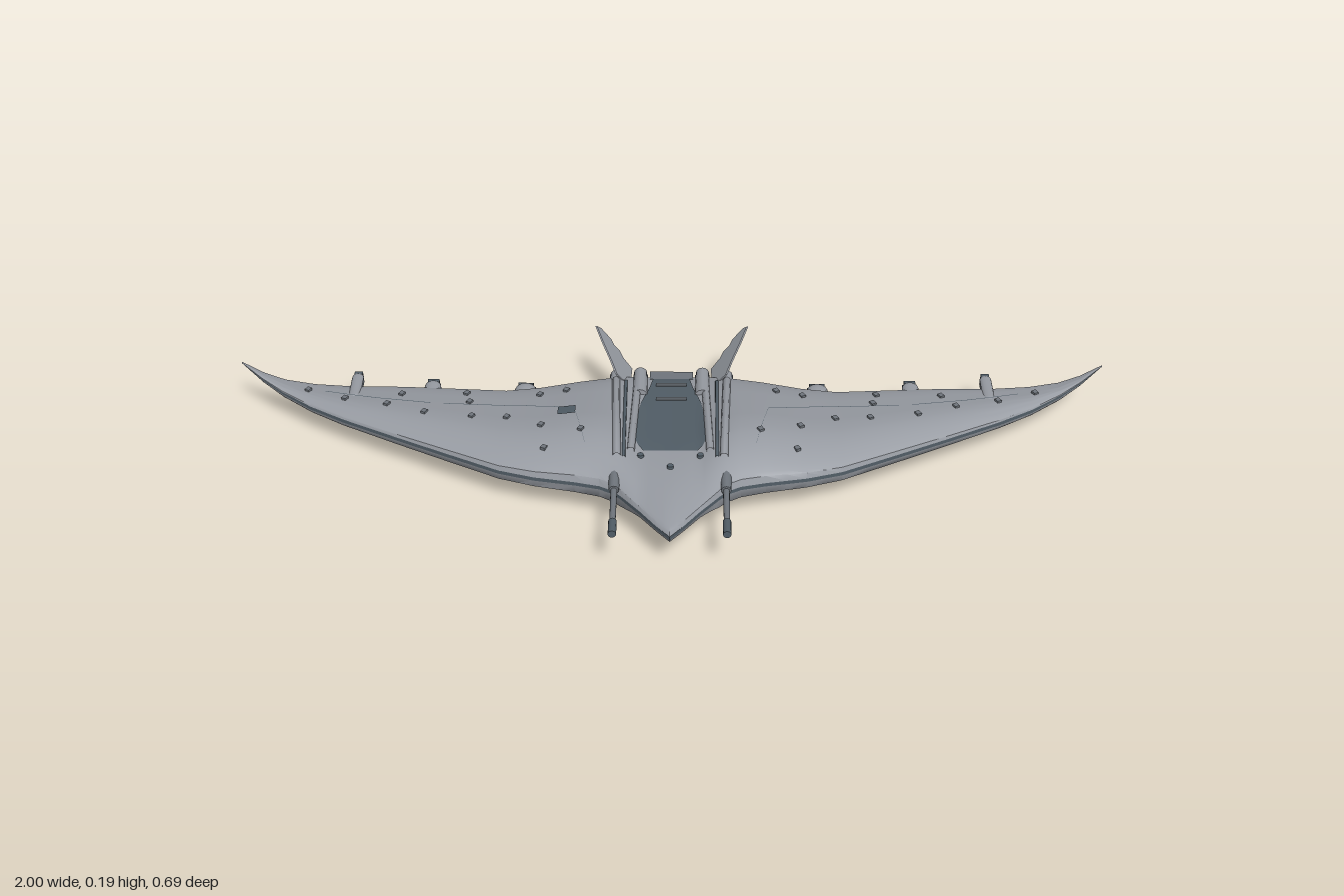
import * as THREE from 'three';
import { toCreasedNormals } from 'three/addons/utils/BufferGeometryUtils.js';

const mat = (name, color) => {
  const m = new THREE.MeshStandardMaterial({ color, side: THREE.DoubleSide });
  m.name = name;
  return m;
};

// Half-span stations: x, leading z, trailing z, seam y, top y, bottom y
const STATIONS = [
  [0, 0.332, -0.25, 0.102, 0.134, 0.056], [0.03, 0.295, -0.25, 0.102, 0.134, 0.056],
  [0.065, 0.245, -0.25, 0.101, 0.134, 0.052], [0.085, 0.22, -0.245, 0.101, 0.142, 0.036],
  [0.108, 0.19, -0.24, 0.1, 0.152, 0.006], [0.125, 0.172, -0.235, 0.1, 0.158, 0.004],
  [0.155, 0.155, -0.225, 0.1, 0.162, 0.009], [0.21, 0.14, -0.215, 0.099, 0.16, 0.016],
  [0.3, 0.122, -0.198, 0.098, 0.147, 0.025], [0.38, 0.095, -0.192, 0.096, 0.138, 0.031],
  [0.5, 0.032, -0.205, 0.094, 0.13, 0.038], [0.62, -0.032, -0.218, 0.092, 0.121, 0.045],
  [0.75, -0.103, -0.226, 0.09, 0.112, 0.054], [0.83, -0.152, -0.236, 0.09, 0.107, 0.063],
  [0.9, -0.198, -0.246, 0.099, 0.109, 0.078], [0.95, -0.229, -0.254, 0.116, 0.121, 0.103],
  [1, -0.259, -0.263, 0.142, 0.143, 0.141],
];
// Chordwise thickness, from leading to trailing edge
const UPPER = [[0, 0], [0.015, 0.28], [0.08, 0.52], [0.2, 0.84], [0.32, 1], [0.45, 1], [0.7, 0.78], [0.9, 0.6], [0.985, 0.42], [1, 0]];
const LOWER = [[0, 0], [0.015, 0.28], [0.1, 0.56], [0.27, 0.93], [0.45, 1], [0.8, 0.95], [0.92, 0.7], [0.985, 0.4], [1, 0]];

function sample(table, v) {
  let i = 1;
  while (i < table.length - 1 && table[i][0] < v) i++;
  const a = table[i - 1], b = table[i], k = (v - a[0]) / (b[0] - a[0]);
  return a.map((n, j) => n + (b[j] - n) * k);
}

const bandHalf = (s) => Math.min(0.0045, (s[4] - s[5]) * 0.1);

function hullPoint(x, t, upper) {
  const s = sample(STATIONS, Math.abs(x)), h = bandHalf(s);
  const z = s[1] + (s[2] - s[1]) * t;
  const y = upper
    ? s[3] + h + Math.max(0, s[4] - s[3] - h) * sample(UPPER, t)[1]
    : s[3] - h - Math.max(0, s[3] - h - s[5]) * sample(LOWER, t)[1];
  return [x, y, z];
}

function topY(x, z) {
  const s = sample(STATIONS, Math.abs(x));
  const t = THREE.MathUtils.clamp((s[1] - z) / (s[1] - s[2]), 0, 1);
  return hullPoint(x, t, true)[1];
}

// Surface over a grid of two parameters
function grid(us, vs, point, flip, crease = 0.7) {
  const pos = [], idx = [], n = vs.length;
  us.forEach((u) => vs.forEach((v) => pos.push(...point(u, v))));
  for (let i = 0; i < us.length - 1; i++) for (let j = 0; j < n - 1; j++) {
    const a = i * n + j, b = a + n, c = a + 1, d = b + 1;
    idx.push(...(flip ? [a, c, b, b, c, d] : [a, b, c, b, d, c]));
  }
  const g = new THREE.BufferGeometry();
  g.setAttribute('position', new THREE.Float32BufferAttribute(pos, 3));
  g.setIndex(idx);
  return toCreasedNormals(g, crease);
}

const steps = (a, b, n) => Array.from({ length: n + 1 }, (_, i) => a + ((b - a) * i) / n);

export function createModel() {
  const root = new THREE.Group();
  root.name = 'flyingWingCraft';
  const hull = mat('hullGrey', 0x979ba2);
  const slate = mat('darkSlate', 0x525e67);
  const metal = mat('pipeGrey', 0x70767d);

  const add = (parent, name, geo, material, p = [0, 0, 0], r = [0, 0, 0]) => {
    const m = new THREE.Mesh(geo, material);
    m.name = name;
    m.position.set(...p);
    m.rotation.set(...r);
    parent.add(m);
    return m;
  };
  const box = (parent, name, size, material, p, r) => add(parent, name, new THREE.BoxGeometry(...size), material, p, r);
  const tube = (parent, name, r0, r1, len, material, p) =>
    add(parent, name, new THREE.CylinderGeometry(r0, r1, len, 12), material, p, [Math.PI / 2, 0, 0]);

  // Hull: upper and lower shells joined by a dark seam band
  const half = STATIONS.flatMap((s, i) => (i ? [(s[0] + STATIONS[i - 1][0]) / 2, s[0]] : [0]));
  const xs = [...half.slice(1).reverse().map((x) => -x), ...half];
  const ts = [0, 0.015, 0.04, 0.08, 0.14, 0.2, 0.26, 0.32, 0.38, 0.45, 0.53, 0.62, 0.7, 0.8, 0.9, 0.95, 0.985, 1];
  add(root, 'upperHull', grid(xs, ts, (x, t) => hullPoint(x, t, true), false), hull);
  add(root, 'lowerHull', grid(xs, ts, (x, t) => hullPoint(x, t, false), true), hull);
  for (const t of [0, 1]) {
    add(root, t ? 'rearSeam' : 'frontSeam', grid(xs, [0, 1], (x, v) => hullPoint(x, t, v === 1), t === 1), slate);
  }

  // Plates laid on the upper surface, with width as a function of z
  const deckHalf = (z) => sample([[-0.245, 0.04], [-0.19, 0.05], [-0.13, 0.068], [-0.02, 0.08], [0.04, 0.078], [0.066, 0.06]], z)[1];
  add(root, 'dorsalDeck', grid(steps(-1, 1, 12), steps(0.066, -0.245, 18),
    (u, z) => [u * deckHalf(z), topY(u * deckHalf(z), z) + 0.002, z], false), slate);
  for (const z of [-0.2, -0.14]) box(root, 'deckRib', [0.07, 0.006, 0.008], metal, [0, topY(0, z) + 0.004, z]);

  // Nose sensors and tail block
  for (const x of [-0.066, 0, 0.066]) {
    const z = x ? 0.085 : 0.125;
    add(root, 'noseSensor', new THREE.CylinderGeometry(0.007, 0.008, 0.008, 10), slate, [x, topY(x, z) + 0.002, z]);
  }
  box(root, 'tailBlock', [0.1, 0.032, 0.03], metal, [0, 0.104, -0.247]);
  box(root, 'tailVent', [0.06, 0.014, 0.02], slate, [0, 0.104, -0.258]);
  box(root, 'bellyKeel', [0.02, 0.012, 0.2], metal, [0, 0.054, 0.02]);

  // Fin outline in (-z, y)
  const fin = new THREE.Shape([
    [0.21, 0.115], [0.215, 0.145], [0.25, 0.158], [0.3, 0.18], [0.34, 0.195], [0.346, 0.186], [0.335, 0.162],
    [0.321, 0.155], [0.317, 0.142], [0.3, 0.133], [0.285, 0.112],
  ].map((p) => new THREE.Vector2(...p)));
  const finGeo = new THREE.ExtrudeGeometry(fin, { depth: 0.004, bevelEnabled: false });
  const fp = finGeo.attributes.position;
  for (let i = 0; i < fp.count; i++) {
    const u = fp.getX(i), v = fp.getY(i), w = fp.getZ(i);
    fp.setXYZ(i, 0.1 + (v - 0.12) + w, v, -u);
  }
  finGeo.computeVertexNormals();

  // Everything paired is built on the left and mirrored to the right
  for (const side of [1, -1]) {
    const g = new THREE.Group();
    g.name = side > 0 ? 'leftSide' : 'rightSide';
    g.scale.x = side;
    root.add(g);

    add(g, 'tailFin', finGeo, hull);

    // Forward gun
    tube(g, 'gunBarrel', 0.0065, 0.0075, 0.21, metal, [0.122, 0.12, 0.235]);
    tube(g, 'gunMuzzle', 0.009, 0.009, 0.045, slate, [0.122, 0.12, 0.318]);
    tube(g, 'gunSleeve', 0.011, 0.014, 0.08, metal, [0.122, 0.121, 0.15]);

    // Raised rails beside the deck
    const rail = (x0, x1, w, r, z0, z1, name, m) => {
      const pts = steps(z0, z1, 8).map((z, i) => {
        const x = x0 + ((x1 - x0) * i) / 8;
        return new THREE.Vector3(x, topY(x, z) + w, z);
      });
      add(g, name, new THREE.TubeGeometry(new THREE.CatmullRomCurve3(pts), 24, r, 8), m);
    };
    rail(0.088, 0.078, 0, 0.009, 0.075, -0.215, 'deckRail', hull);
    rail(0.118, 0.128, 0.001, 0.009, 0.1, -0.21, 'outerRail', hull);
    rail(0.103, 0.105, 0.0, 0.004, 0.1, -0.21, 'railGroove', slate);

    // Engines by the tail
    for (const [x, r, len] of [[0.072, 0.019, 0.095], [0.128, 0.017, 0.08]]) {
      tube(g, 'enginePod', r, r * 0.8, len, hull, [x, 0.12, -0.21]);
      tube(g, 'engineNozzle', r * 0.75, r * 0.75, 0.016, slate, [x, 0.113, -0.21 - len / 2]);
      box(g, 'engineMount', [r * 1.8, 0.03, 0.05], metal, [x, 0.098, -0.235]);
    }

    // Pods along the trailing edge: x, z centre, length, width
    for (const [x, z, len, w] of [[0.338, -0.206, 0.045, 0.05], [0.555, -0.214, 0.068, 0.038], [0.732, -0.218, 0.1, 0.027]]) {
      const y = topY(x, z) + 0.001;
      const pod = add(g, 'trailingPod', new THREE.CapsuleGeometry(w / 2, Math.max(0.004, len - w), 6, 12), hull,
        [x, y, z], [Math.PI / 2, 0, 0]);
      pod.scale.z = 0.55;
      box(g, 'podNozzle', [w * 0.7, 0.012, 0.014], slate, [x, y - 0.003, z - len / 2]);
      box(g, 'podBase', [w * 0.9, 0.016, len * 0.5], metal, [x, y - 0.01, z - len * 0.2]);
    }

    // Panel seams on the wing
    const seam = (pts) => {
      for (let i = 1; i < pts.length; i++) {
        const [xa, za] = pts[i - 1], [xb, zb] = pts[i];
        add(g, 'panelSeam', grid(steps(0, 1, 10), [0.0012, -0.0012], (k, o) => {
          const x = xa + (xb - xa) * k, z = za + (zb - za) * k + o;
          return [x, topY(x, z) + 0.0015, z];
        }, false), slate);
      }
    };
    seam([[0.19, 0.06], [0.22, -0.075], [0.34, -0.105], [0.52, -0.125]]);
    seam([[0.55, -0.13], [0.68, -0.16], [0.8, -0.195]]);

    // Small fittings scattered over the wing
    for (const [x, z] of [[0.29, -0.01], [0.37, -0.055], [0.28, 0.065], [0.45, -0.065], [0.46, -0.13], [0.47, -0.17],
      [0.56, -0.09], [0.65, -0.13], [0.62, -0.175], [0.75, -0.16], [0.84, -0.2], [0.3, -0.15], [0.24, -0.16], [0.2, 0.02]]) {
      box(g, 'wingFitting', [0.011, 0.007, 0.013], metal, [x, topY(x, z) + 0.002, z], [0, 0.5, 0]);
    }
  }

  // Single access hatch on the right wing
  add(root, 'accessHatch', grid(steps(-0.255, -0.215, 4), steps(-0.045, -0.08, 4),
    (x, z) => [x, topY(x, z) + 0.003, z], false), slate);

  return root;
}
